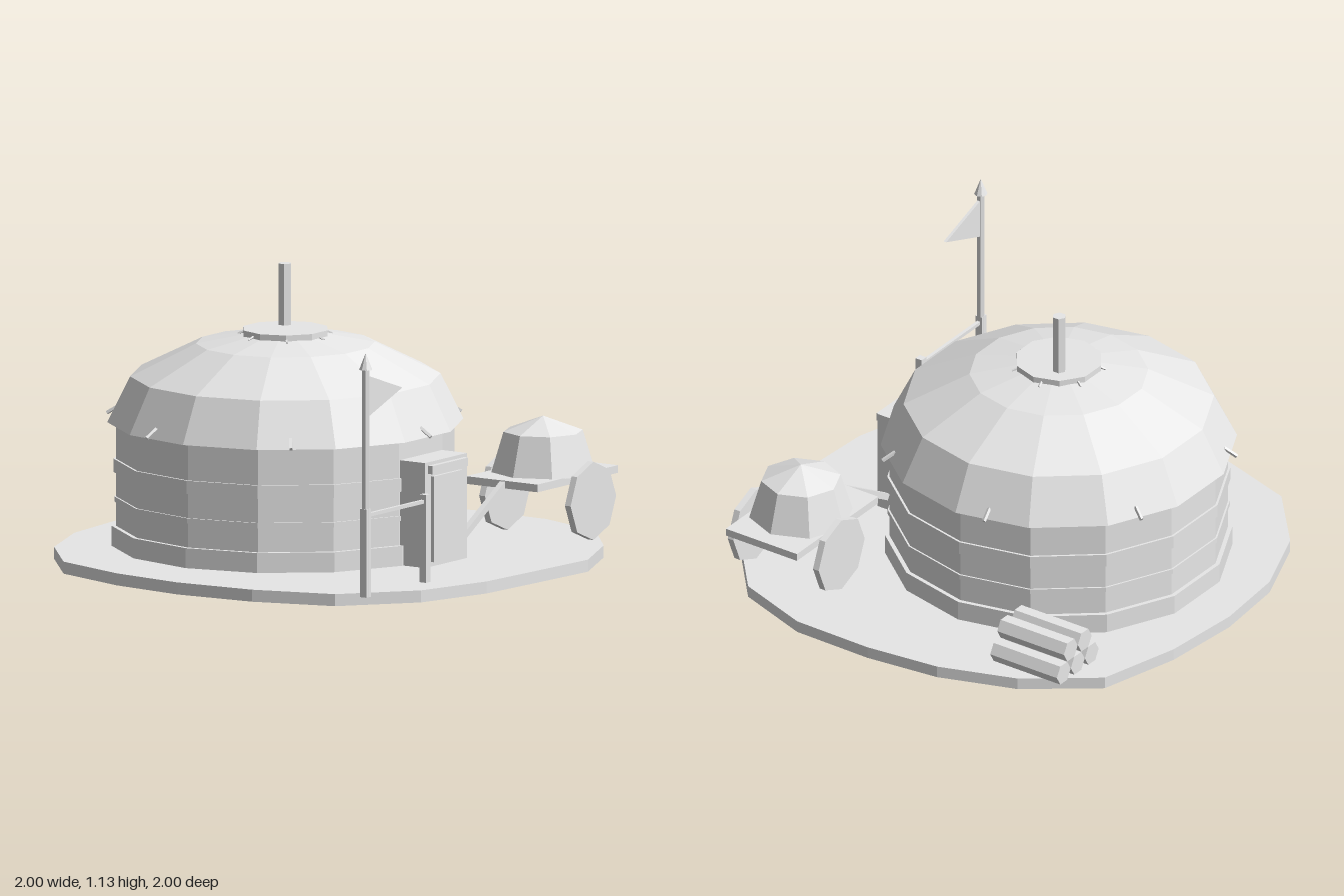
import * as THREE from 'three';

export function createModel() {
  const model = new THREE.Group();
  model.name = 'tentCamp';
  const clay = new THREE.MeshStandardMaterial({ color: 0xe7e7e7 });
  clay.name = 'plainGrey';
  clay.flatShading = true;
  clay.side = THREE.DoubleSide;

  const add = (name, geo, x = 0, y = 0, z = 0, parent = model) => {
    const mesh = new THREE.Mesh(geo, clay);
    mesh.name = name;
    mesh.position.set(x, y, z);
    parent.add(mesh);
    return mesh;
  };
  // Box given by its lower and upper limits
  const block = (name, x0, x1, y0, y1, z0, z1) =>
    add(name, new THREE.BoxGeometry(x1 - x0, y1 - y0, z1 - z0), (x0 + x1) / 2, (y0 + y1) / 2, (z0 + z1) / 2);
  // Faceted drum with a corner on the x axis
  const drum = (r, y0, y1, sides) =>
    new THREE.CylinderGeometry(r, r, y1 - y0, sides).rotateY(Math.PI / 2).translate(0, (y0 + y1) / 2, 0);
  const lathe = (points, sides) =>
    new THREE.LatheGeometry(points.map(p => new THREE.Vector2(...p)), sides, Math.PI / 2);
  // Rod between two points
  const rod = (name, a, b, r, parent = model, sides = 4) => {
    const from = new THREE.Vector3(...a), to = new THREE.Vector3(...b);
    const dir = to.clone().sub(from);
    const mesh = add(name, new THREE.CylinderGeometry(r, r, dir.length(), sides), 0, 0, 0, parent);
    mesh.position.copy(from).add(to).multiplyScalar(0.5);
    mesh.quaternion.setFromUnitVectors(new THREE.Vector3(0, 1, 0), dir.normalize());
  };

  // Uneven ground slab
  const outline = [
    [0, -1], [0.33, -0.97], [0.66, -0.88], [0.86, -0.61], [0.965, -0.305], [1, 0], [0.995, 0.335],
    [0.885, 0.645], [0.63, 0.862], [0.33, 0.998], [0, 0.98], [-0.3, 0.962], [-0.61, 0.872], [-0.87, 0.65],
    [-0.97, 0.33], [-1, 0], [-0.965, -0.31], [-0.865, -0.63], [-0.61, -0.853], [-0.305, -0.972],
  ];
  const slab = new THREE.Shape(outline.map(([x, z]) => new THREE.Vector2(x, -z)));
  add('ground', new THREE.ExtrudeGeometry(slab, { depth: 0.047, bevelEnabled: false }).rotateX(-Math.PI / 2));

  // Round tent
  const tent = new THREE.Group();
  tent.name = 'tent';
  tent.position.set(-0.046, 0, -0.161);
  model.add(tent);
  add('wall', drum(0.653, 0.04, 0.56, 14), 0, 0, 0, tent);
  add('baseRing', drum(0.67, 0.04, 0.125, 14), 0, 0, 0, tent);
  add('upperBand', drum(0.662, 0.335, 0.387, 14), 0, 0, 0, tent);
  add('lowerBand', drum(0.66, 0.22, 0.24, 14), 0, 0, 0, tent);
  add('roof', lathe([[0.64, 0.532], [0.687, 0.53], [0.599, 0.708], [0.345, 0.834], [0.16, 0.868], [0, 0.868]], 14), 0, 0, 0, tent);
  add('crown', drum(0.17, 0.863, 0.89, 10), 0, 0, 0, tent);
  rod('chimney', [0.068, 0.86, -0.05], [0.068, 1.13, -0.05], 0.027, tent, 6);

  // Pegs round the eave and the crown
  for (let i = 0; i < 7; i++) {
    const a = THREE.MathUtils.degToRad(91.8) + i * Math.PI * 2 / 7;
    const at = (r, y) => [r * Math.cos(a), y, r * Math.sin(a)];
    rod('eavePeg', at(0.65, 0.568), at(0.7, 0.537), 0.008, tent);
    rod('crownPeg', at(0.16, 0.874), at(0.186, 0.863), 0.005, tent);
  }

  // Doorway
  block('doorFrame', -0.187, 0.096, 0.045, 0.457, 0.38, 0.594);
  block('doorPanel', -0.145, 0.048, 0.065, 0.4, 0.58, 0.607);
  block('doorLintel', -0.166, 0.075, 0.412, 0.444, 0.58, 0.614);

  // Flagpole and hitching rail
  rod('flagpole', [-0.843, 0.045, 0.775], [-0.843, 0.94, 0.775], 0.016, model, 6);
  add('poleTip', new THREE.ConeGeometry(0.026, 0.065, 8), -0.843, 0.965, 0.775);
  const flag = new THREE.Shape([[-0.84, 0.91], [-0.84, 0.745], [-0.605, 0.83]].map(p => new THREE.Vector2(...p)));
  add('flag', new THREE.ExtrudeGeometry(flag, { depth: 0.012, bevelEnabled: false }), 0, 0, 0.769);
  for (const x of [-0.845, -0.445]) block('railPost', x - 0.015, x + 0.015, 0.045, 0.39, 0.76, 0.79);
  block('rail', -0.843, -0.445, 0.356, 0.37, 0.768, 0.782);

  // Loaded cart with a tray framed by side boards
  block('cartTray', 0.395, 0.935, 0.288, 0.303, 0.379, 0.715);
  for (const x of [0.395, 0.915]) block('trayEnd', x, x + 0.02, 0.273, 0.303, 0.379, 0.715);
  for (const z of [0.379, 0.695]) block('traySide', 0.395, 0.935, 0.273, 0.303, z, z + 0.02);
  add('cartLoad', lathe([[0, 0.3], [0.203, 0.3], [0.155, 0.459], [0, 0.518]], 8), 0.668, 0, 0.55);
  for (const z of [0.35, 0.753])
    add('cartWheel', new THREE.CylinderGeometry(0.153, 0.153, 0.027, 8).rotateX(Math.PI / 2), 0.697, 0.202, z);
  const shaft = add('cartShaft', new THREE.BoxGeometry(0.36, 0.026, 0.024), 0.255, 0.2, 0.55);
  shaft.rotation.z = Math.atan2(0.18, 0.3);

  // Log pile
  for (const [row, count] of [[0, 3], [1, 2]])
    for (let i = 0; i < count; i++)
      add('log', new THREE.CylinderGeometry(0.046, 0.046, 0.315, 6).rotateY(Math.PI / 6).rotateX(Math.PI / 2),
        0.695 + (i - (count - 1) / 2) * 0.093, 0.093 + row * 0.081, -0.62);

  return model;
}
